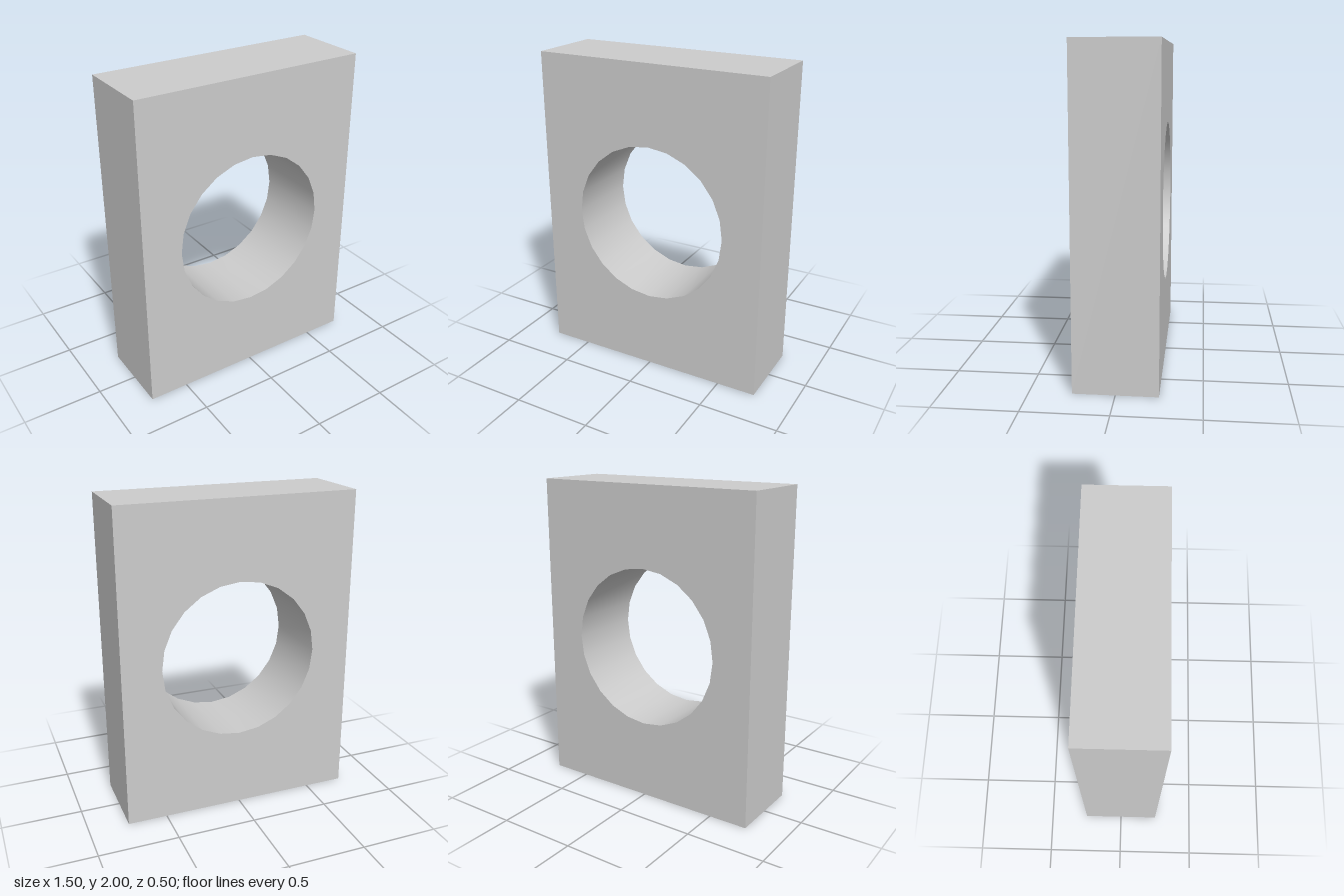
import * as THREE from 'three';
import { toCreasedNormals } from 'three/addons/utils/BufferGeometryUtils.js';

const WIDTH = 1.5, HEIGHT = 2, DEPTH = 0.5, HOLE_RADIUS = 0.5;

export function createModel() {
  const group = new THREE.Group();
  group.name = 'piercedBlock';

  // Rectangular outline standing on the ground
  const w = WIDTH / 2;
  const outline = new THREE.Shape([
    new THREE.Vector2(-w, 0),
    new THREE.Vector2(w, 0),
    new THREE.Vector2(w, HEIGHT),
    new THREE.Vector2(-w, HEIGHT),
  ]);

  // Round through-hole in the middle; 12 curve segments give a full circle 24 sides
  const hole = new THREE.Path();
  hole.absarc(0, HEIGHT / 2, HOLE_RADIUS, 0, Math.PI * 2, true);
  outline.holes.push(hole);

  const geometry = new THREE.ExtrudeGeometry(outline, {
    depth: DEPTH, bevelEnabled: false, curveSegments: 12,
  });
  geometry.translate(0, 0, -DEPTH / 2);

  // Smooth bore, sharp block edges
  const block = new THREE.Mesh(
    toCreasedNormals(geometry, Math.PI / 6),
    new THREE.MeshStandardMaterial({ color: 0xcccccc }),
  );
  block.name = 'blockWithRoundHole';
  group.add(block);
  return group;
}
